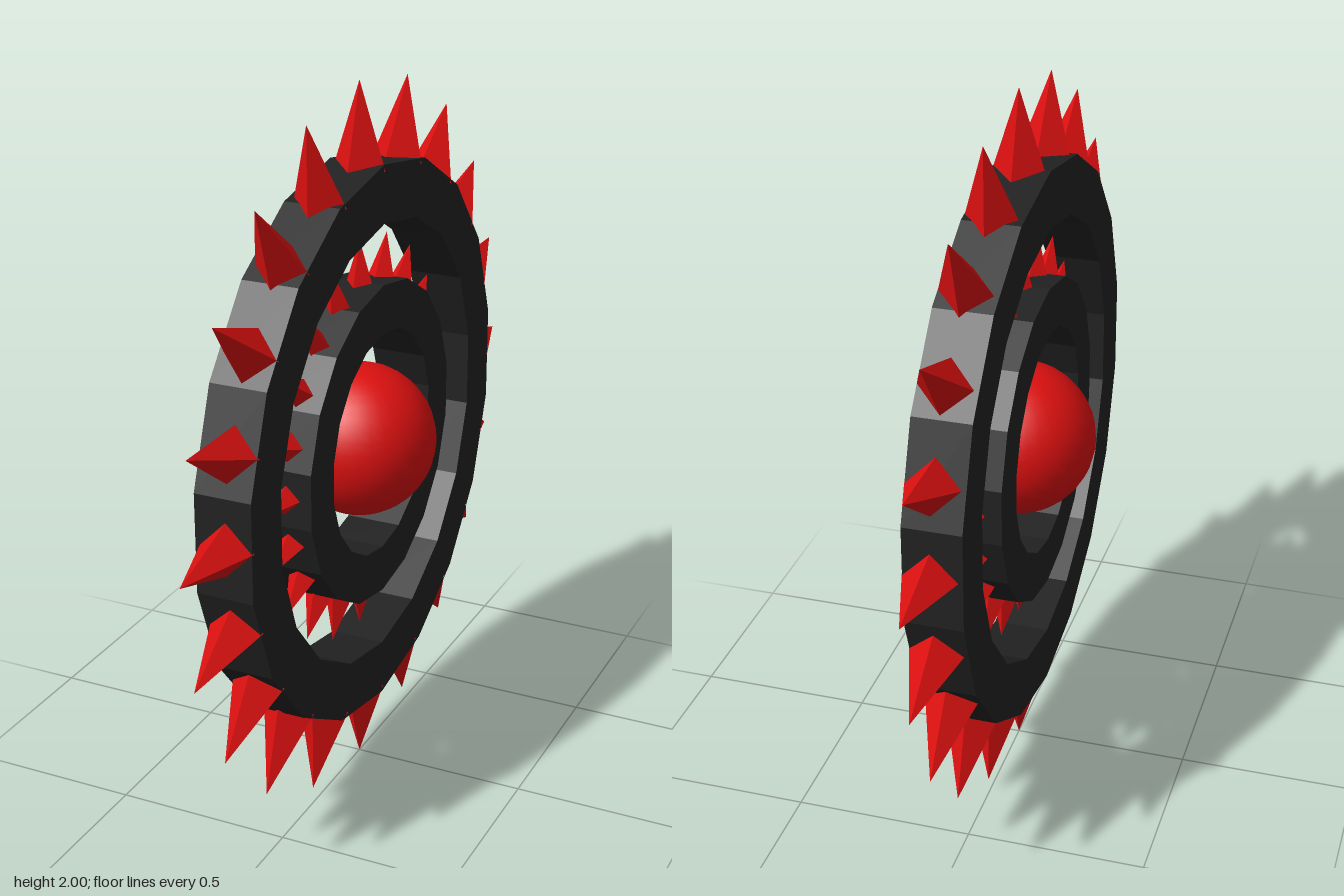
import * as THREE from 'three';

const dark = new THREE.MeshStandardMaterial({ color: 0x222222, flatShading: true });
const red = new THREE.MeshStandardMaterial({ color: 0xdd1010, flatShading: true });
const redSmooth = new THREE.MeshStandardMaterial({ color: 0xdd1010 });

// Flat 18-sided ring around the x axis, with a rectangular section
function ring(inner, outer) {
  const x0 = -0.085, x1 = 0.072;
  const section = [[outer, x0], [outer, x1], [inner, x1], [inner, x0], [outer, x0]]
    .map(([r, x]) => new THREE.Vector2(r, x));
  const geometry = new THREE.LatheGeometry(section, 18, Math.PI / 2);
  geometry.rotateZ(-Math.PI / 2);
  return new THREE.Mesh(geometry, dark);
}

// Four-sided spikes pointing outward all around a ring
function spikes(name, base, tip, radius, count = 20) {
  const group = new THREE.Group();
  group.name = name;
  const geometry = new THREE.ConeGeometry(radius, tip - base, 4);
  geometry.translate(0, (base + tip) / 2, 0);
  for (let i = 0; i < count; i++) {
    const spike = new THREE.Mesh(geometry, red);
    spike.name = 'spike';
    spike.rotation.x = (i / count) * Math.PI * 2;
    group.add(spike);
  }
  return group;
}

export function createModel() {
  const model = new THREE.Group();
  model.name = 'spikedRings';

  const outerRing = ring(0.623, 0.784);
  outerRing.name = 'outerRing';
  const innerRing = ring(0.318, 0.454);
  innerRing.name = 'innerRing';

  // Smooth ball in the middle
  const ball = new THREE.Mesh(new THREE.SphereGeometry(0.213, 32, 20), redSmooth);
  ball.name = 'centreBall';

  model.add(
    outerRing, innerRing, ball,
    spikes('outerSpikes', 0.765, 1, 0.075),
    spikes('innerSpikes', 0.435, 0.572, 0.043),
  );
  model.children.forEach((part) => { part.position.y = 1; });
  return model;
}
